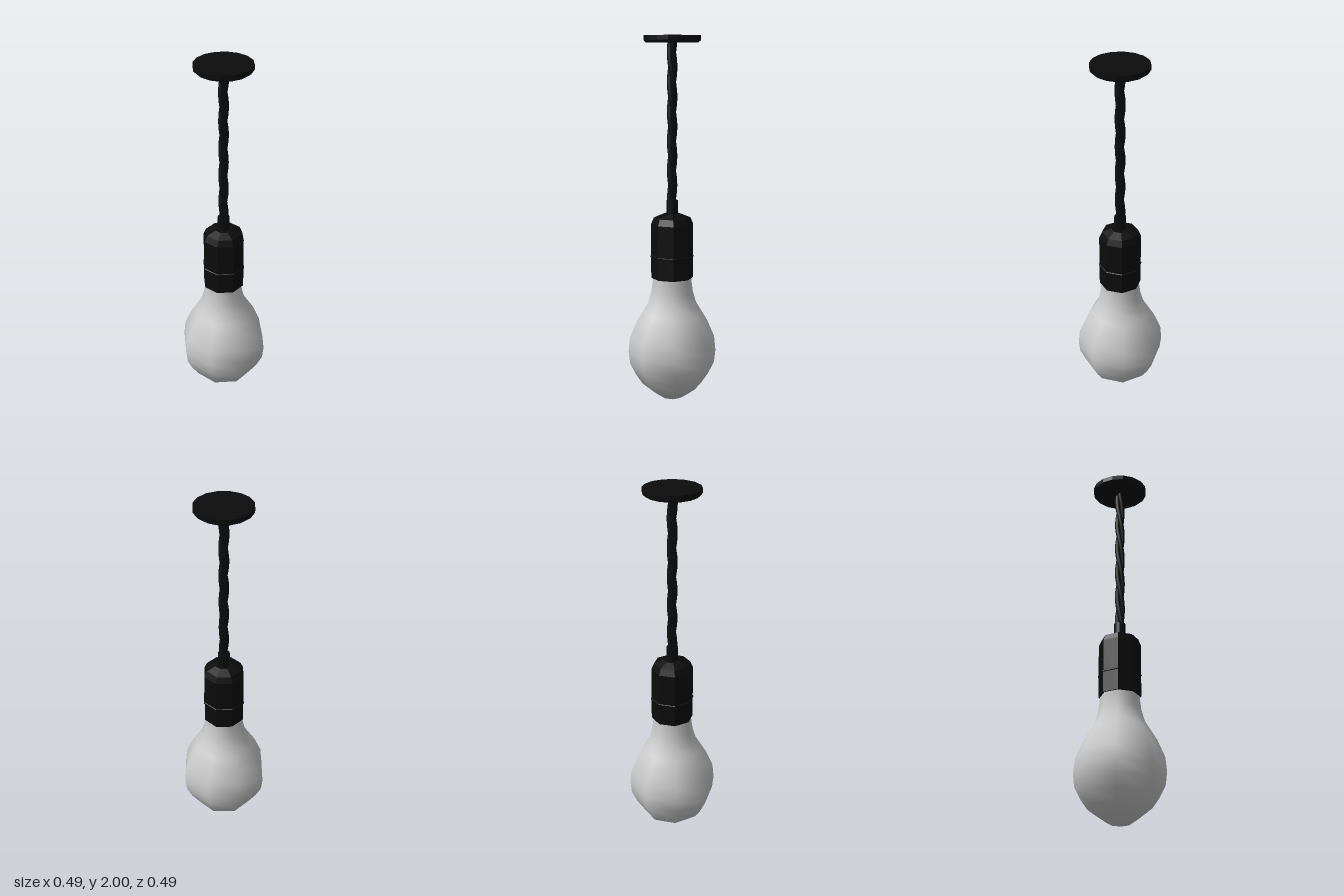
import * as THREE from 'three';

const black = new THREE.MeshStandardMaterial({ color: 0x0c0c0c, flatShading: true });
const blackSmooth = new THREE.MeshStandardMaterial({ color: 0x0c0c0c });
const grey = new THREE.MeshStandardMaterial({ color: 0xcccccc });

// Turned part from [radius, height] pairs, listed bottom to top
function turned(name, profile, sides, material, start = 0) {
  const points = profile.map(([r, y]) => new THREE.Vector2(r, y));
  const mesh = new THREE.Mesh(new THREE.LatheGeometry(points, sides, start), material);
  mesh.name = name;
  return mesh;
}

// One strand winding around the vertical axis
class Helix extends THREE.Curve {
  constructor(radius, bottom, top, turns, phase) {
    super();
    Object.assign(this, { radius, bottom, top, turns, phase });
  }
  getPoint(t, target = new THREE.Vector3()) {
    const a = this.phase + t * this.turns * Math.PI * 2;
    return target.set(
      Math.cos(a) * this.radius,
      THREE.MathUtils.lerp(this.bottom, this.top, t),
      Math.sin(a) * this.radius
    );
  }
}

export function createModel() {
  const model = new THREE.Group();
  model.name = 'pendantLamp';

  // Eight-sided bulb with smooth shading
  model.add(turned('bulb', [
    [0, 0], [0.06, 0.006], [0.125, 0.05], [0.165, 0.08], [0.203, 0.135], [0.235, 0.2],
    [0.243, 0.27], [0.235, 0.35], [0.195, 0.445], [0.165, 0.495], [0.132, 0.55],
    [0.115, 0.61], [0.107, 0.67], [0.105, 0.74]
  ], 8, grey));

  // Socket with bevelled shoulder, and the thin ring around its joint
  model.add(turned('socket', [
    [0, 0.69], [0.115, 0.69], [0.115, 0.99], [0.1, 1.025], [0.05, 1.045], [0, 1.045]
  ], 8, black));
  model.add(turned('socketRing', [
    [0.113, 0.803], [0.119, 0.807], [0.119, 0.813], [0.113, 0.817]
  ], 8, black));

  // Sleeve where the cord enters the socket
  model.add(turned('cordSleeve', [
    [0.032, 1.03], [0.032, 1.12], [0, 1.12]
  ], 12, black));

  // Twisted cord of three strands
  const cord = new THREE.Group();
  cord.name = 'cord';
  for (let i = 0; i < 3; i++) {
    const path = new Helix(0.0145, 1.1, 1.975, 1.85, i * Math.PI * 2 / 3);
    const strand = new THREE.Mesh(new THREE.TubeGeometry(path, 72, 0.0135, 8), blackSmooth);
    strand.name = 'cordStrand';
    cord.add(strand);
  }
  model.add(cord);

  // Ceiling plate
  model.add(turned('ceilingPlate', [
    [0, 1.963], [0.14, 1.963], [0.154, 1.975], [0.154, 2], [0, 2]
  ], 16, black, Math.PI / 16));

  return model;
}
